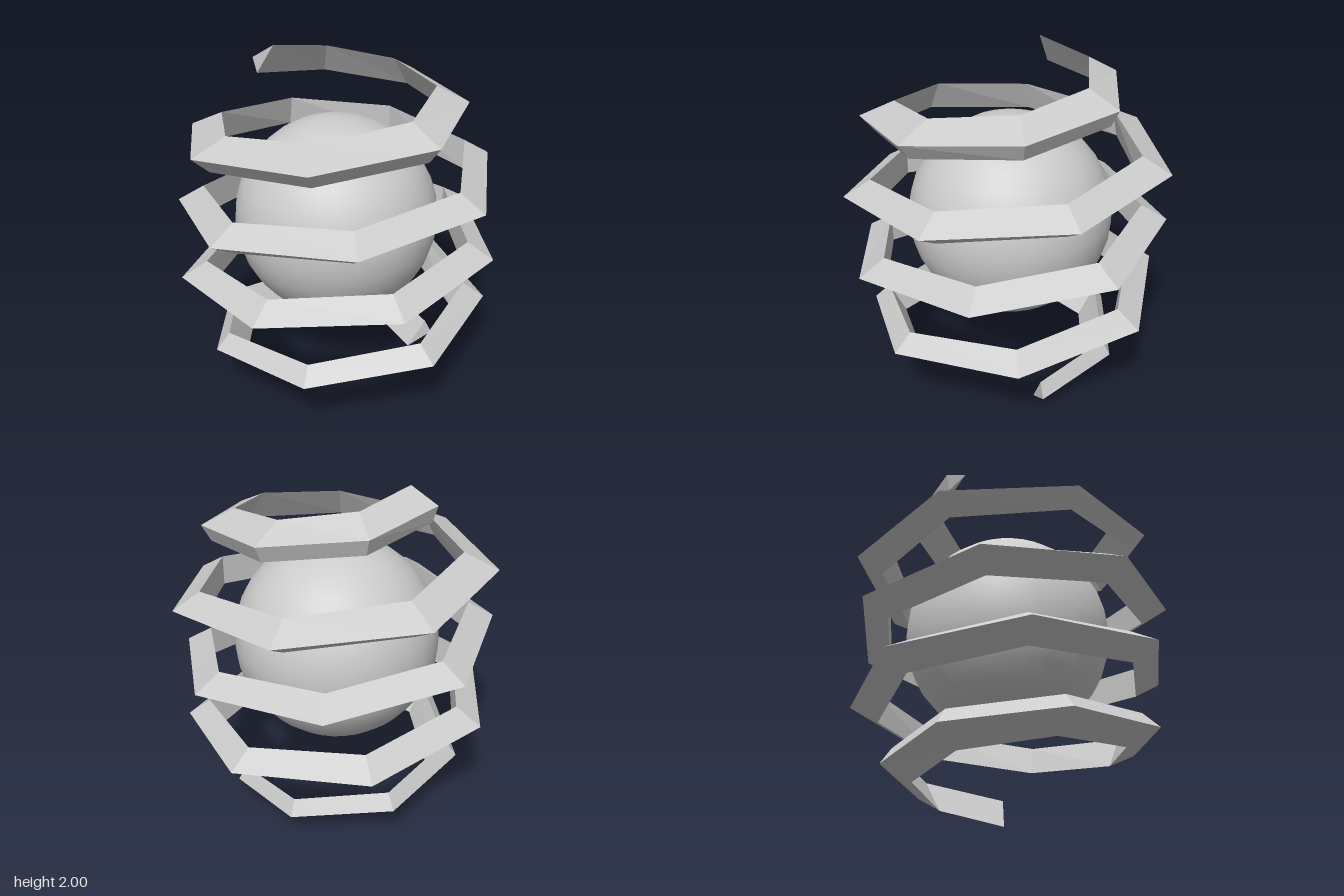
import * as THREE from 'three';

const SEGMENTS = 32;          // straight runs in the whole coil
const SWEEP = THREE.MathUtils.degToRad(1575);

// Relative coil radius by height: full in the middle, tapering to both ends
const PROFILE = [
  [0, 0.61], [0.1, 0.68], [0.21, 0.77], [0.33, 0.865], [0.44, 0.936], [0.5, 0.967], [0.6, 0.99],
  [1, 1], [1.46, 1], [1.57, 0.932], [1.68, 0.845], [1.74, 0.78], [1.8, 0.728], [1.9, 0.632], [2, 0.55],
];

function taper(y) {
  const i = Math.max(1, PROFILE.findIndex(([h]) => h >= y));
  const [y0, s0] = PROFILE[i - 1], [y1, s1] = PROFILE[i];
  return THREE.MathUtils.mapLinear(y, y0, y1, s0, s1);
}

// Triangular section: top, outer ridge, bottom as [radius, height offset]
const SECTION = [[0.8, 0.092], [0.957, 0], [0.8, -0.092]];

function coilGeometry() {
  const positions = [], index = [];
  for (let i = 0; i <= SEGMENTS; i++) {
    const t = i / SEGMENTS, a = t * SWEEP;
    for (const [radius, dy] of SECTION) {
      const y = THREE.MathUtils.lerp(0.092, 1.908, t) + dy;
      const r = radius * taper(Math.min(2, Math.max(0, y)));
      positions.push(r * Math.cos(a), y, -r * Math.sin(a));
    }
  }
  for (let i = 0; i < SEGMENTS; i++) {
    for (let j = 0; j < 3; j++) {
      const a = i * 3 + j, b = i * 3 + (j + 1) % 3;
      index.push(a, b, b + 3, a, b + 3, a + 3);
    }
  }
  // End caps
  const e = SEGMENTS * 3;
  index.push(2, 1, 0, e, e + 1, e + 2);
  const g = new THREE.BufferGeometry();
  g.setAttribute('position', new THREE.Float32BufferAttribute(positions, 3));
  g.setIndex(index);
  const flat = g.toNonIndexed();
  flat.computeVertexNormals();
  return flat;
}

export function createModel() {
  const group = new THREE.Group();

  // Faceted coil winding up around the ball
  const coil = new THREE.Mesh(
    coilGeometry(),
    new THREE.MeshStandardMaterial({ color: 0xcccccc, flatShading: true }),
  );
  coil.name = 'spiralCoil';
  group.add(coil);

  // Smooth ball in the middle
  const ball = new THREE.Mesh(
    new THREE.SphereGeometry(0.61, 32, 16),
    new THREE.MeshStandardMaterial({ color: 0xcccccc }),
  );
  ball.name = 'ball';
  ball.position.set(0, 1.03, -0.02);
  group.add(ball);

  return group;
}
